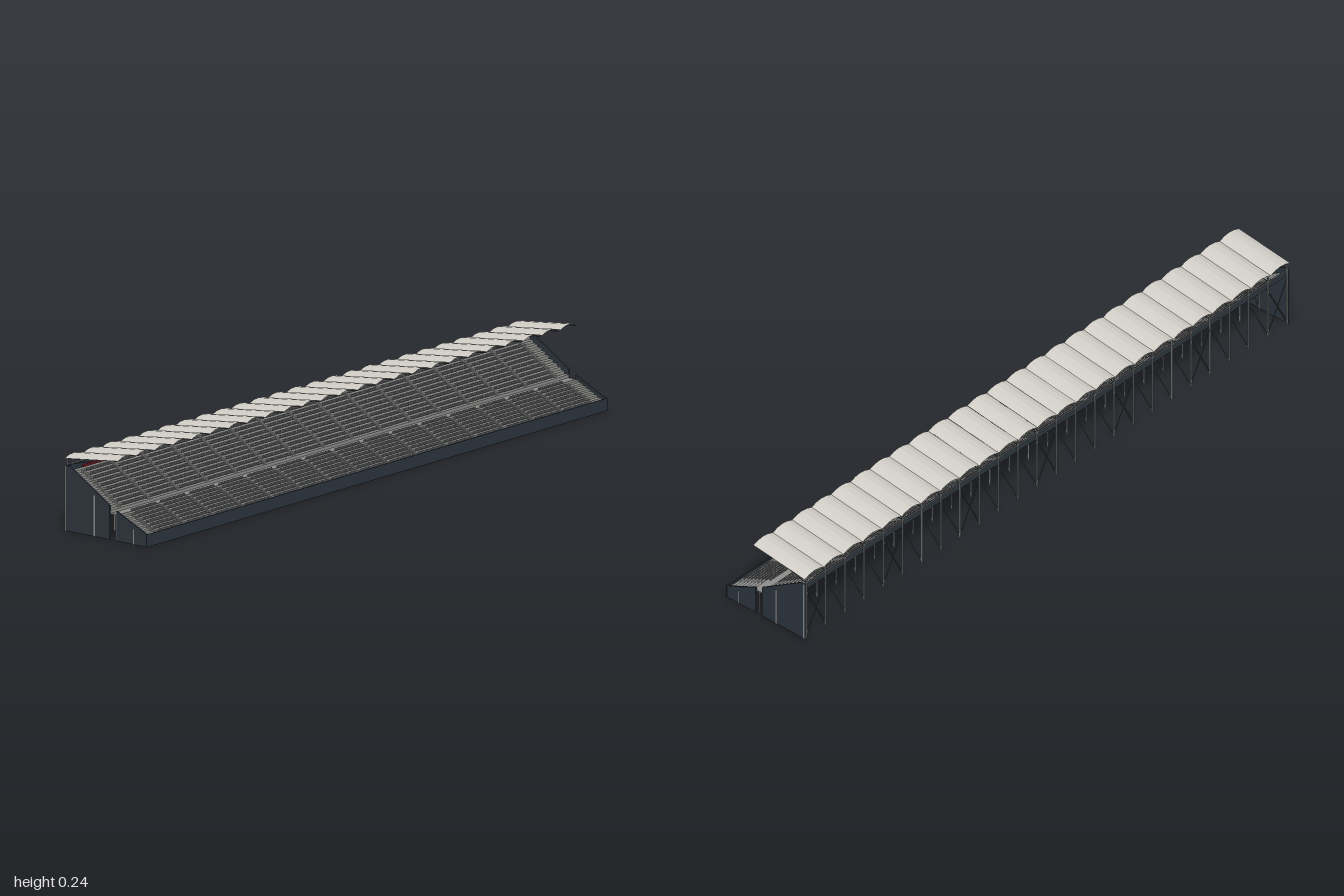
import * as THREE from 'three';
import { mergeGeometries } from 'three/addons/utils/BufferGeometryUtils.js';

const mat = (name, color, side = THREE.FrontSide) => {
  const m = new THREE.MeshStandardMaterial({ color, side });
  m.name = name;
  return m;
};

// box geometry by size and centre
const box = (w, h, d, x, y, z) => new THREE.BoxGeometry(w, h, d).translate(x, y, z);

// square bar between two points
function bar(a, b, t) {
  const p = new THREE.Vector3(...a), q = new THREE.Vector3(...b);
  const dir = q.clone().sub(p);
  const g = new THREE.BoxGeometry(t, dir.length(), t);
  g.applyQuaternion(new THREE.Quaternion().setFromUnitVectors(new THREE.Vector3(0, 1, 0), dir.normalize()));
  return g.translate(...p.add(q).multiplyScalar(0.5).toArray());
}

// side outline of [z, y] points, extruded along x
function sideExtrude(points, width, x) {
  const shape = new THREE.Shape(points.map(([z, y]) => new THREE.Vector2(z, y)));
  const g = new THREE.ExtrudeGeometry(shape, { depth: width, bevelEnabled: false });
  return g.rotateY(-Math.PI / 2).translate(x + width / 2, 0, 0);
}

export function createModel() {
  const group = new THREE.Group();
  const concrete = mat('concrete', 0x8c8c8a);
  const panel = mat('dark panel', 0x2c343c);
  const steel = mat('galvanised steel', 0x85898c);
  const darkSteel = mat('dark steel', 0x45494d);
  const seatGrey = mat('grey seat', 0x707274);
  const seatRed = mat('red seat', 0x9c2329);
  const roofing = mat('roof sheet', 0xcfcdc5, THREE.DoubleSide);
  const add = (name, geos, material) => {
    const mesh = new THREE.Mesh(Array.isArray(geos) ? mergeGeometries(geos) : geos, material);
    mesh.name = name;
    group.add(mesh);
  };

  // stepped decks, given by front edge, first tread height and row sizes
  const tiers = [
    { name: 'lowerDeck', z: 0.146, y: 0.029, rows: 8, tread: 0.0135, rise: 0.0062 },
    { name: 'upperDeck', z: 0.014, y: 0.083, rows: 11, tread: 0.014, rise: 0.0087 },
  ];
  const grey = [], red = [], steps = [];
  const sections = 15, pitch = 0.126, perSection = 9, seatPitch = 0.0121;
  tiers.forEach((t, ti) => {
    const outline = [[t.z, t.y - 0.01]];
    for (let r = 0; r < t.rows; r++) {
      const y = t.y + r * t.rise, z = t.z - r * t.tread;
      outline.push([z, y], [z - t.tread, y]);
    }
    const endZ = t.z - t.rows * t.tread, endY = t.y + (t.rows - 1) * t.rise;
    outline.push([endZ, endY - 0.003]);
    for (let r = t.rows - 1; r > 0; r--) {
      const y = t.y + r * t.rise, z = t.z - r * t.tread;
      outline.push([z - 0.0015, y - 0.003], [z - 0.0015, y - t.rise - 0.003]);
    }
    outline.push([t.z - 0.0015, t.y - 0.003], [t.z - 0.0015, t.y - 0.01]);
    add(t.name, sideExtrude(outline.reverse(), 1.985, 0), concrete);

    for (let r = 0; r < t.rows; r++) {
      const y = t.y + r * t.rise, z = t.z - r * t.tread;
      // seats: a pan and a backrest
      const target = ti === 1 && r === t.rows - 1 ? red : grey;
      for (let s = 0; s < sections; s++) {
        for (let k = 0; k < perSection; k++) {
          const x = (s - (sections - 1) / 2) * pitch + (k - (perSection - 1) / 2) * seatPitch;
          target.push(box(0.0095, 0.0015, 0.0055, x, y + 0.0035, z - 0.0085));
          target.push(box(0.0095, 0.0055, 0.0013, x, y + 0.0055, z - 0.0118));
        }
      }
      // half steps in the aisles
      if (r > 0) {
        for (let s = 0; s <= sections; s++) {
          steps.push(box(0.013, t.rise / 2, 0.006, (s - sections / 2) * pitch, y - t.rise * 0.75, z + 0.003));
        }
      }
    }
  });
  add('seats', grey, seatGrey);
  add('backRowSeats', red, seatRed);
  add('aisleSteps', steps, concrete);

  // walkway between the decks
  add('walkway', box(1.985, 0.003, 0.027, 0, 0.0725, 0.026), concrete);

  // dark cladding
  add('frontWall', box(2, 0.036, 0.003, 0, 0.018, 0.147), panel);
  add('rearFascia', box(1.99, 0.022, 0.003, 0, 0.176, -0.142), panel);
  const lowerSide = [[0.148, 0], [0.148, 0.036], [0.038, 0.086], [0.038, 0]].reverse();
  const upperSide = [[0.014, 0], [0.014, 0.098], [-0.13, 0.187], [-0.147, 0.187], [-0.147, 0]].reverse();
  const walls = [];
  for (const s of [-1, 1]) {
    walls.push(sideExtrude(lowerSide, 0.005, s * 0.9955), sideExtrude(upperSide, 0.005, s * 0.9955));
  }
  add('sideWalls', walls, panel);

  // posts showing on the side walls
  const endPosts = [];
  for (const s of [-1, 1]) {
    for (const [z, h, w] of [[0.101, 0.044, 0.003], [-0.041, 0.118, 0.005], [-0.1445, 0.187, 0.005]]) {
      endPosts.push(box(0.002, h, w, s * 0.999, h / 2, z));
    }
  }
  add('endPosts', endPosts, steel);

  // supporting frames and roof brackets
  const posts = [], braces = [], rafters = [];
  const bays = 25;
  const roofZ = [0.045, -0.148], roofY = [0.23, 0.207];
  for (let i = 0; i <= bays; i++) {
    const x = -0.99 + (1.98 * i) / bays;
    posts.push(box(0.004, 0.207, 0.004, x, 0.1035, -0.1455));
    posts.push(box(0.003, 0.112, 0.004, x, 0.056, -0.041));
    posts.push(box(0.003, 0.072, 0.003, x, 0.036, 0.031));
    posts.push(box(0.003, 0.045, 0.003, x, 0.0225, 0.101));
    braces.push(bar([x, 0.005, -0.145], [x, 0.11, -0.041], 0.0025));
    braces.push(bar([x, 0.11, -0.041], [x, 0.168, -0.14], 0.003));
    braces.push(bar([x, 0.005, -0.041], [x, 0.078, 0.012], 0.0025));
    if (i < bays && i % 4 === 0) {
      const x2 = x + 1.98 / bays;
      braces.push(bar([x, 0.01, -0.1455], [x2, 0.16, -0.1455], 0.002));
      braces.push(bar([x2, 0.01, -0.1455], [x, 0.16, -0.1455], 0.002));
    }
    rafters.push(bar([x, roofY[0] - 0.001, 0.044], [x, roofY[1] - 0.001, -0.147], 0.003));
    rafters.push(bar([x, 0.221, -0.02], [x, 0.188, -0.1455], 0.002));
  }
  add('posts', posts, steel);
  add('braces', braces, darkSteel);
  add('roofBrackets', rafters, darkSteel);
  add('rearBeam', box(1.98, 0.003, 0.003, 0, 0.1885, -0.1455), steel);

  // sloping roof folded into shallow arches
  const profile = [0, 0.007, 0.0095, 0.007];
  const n = bays * 4;
  const sheet = new THREE.PlaneGeometry(2, 1, n, 1);
  const pos = sheet.attributes.position;
  for (let j = 0; j < 2; j++) {
    for (let i = 0; i <= n; i++) {
      const k = j * (n + 1) + i;
      pos.setXYZ(k, -1 + (2 * i) / n, roofY[1 - j] + profile[i % 4], roofZ[1 - j]);
    }
  }
  const roof = sheet.toNonIndexed();
  roof.computeVertexNormals();
  add('roof', roof, roofing);

  return group;
}
